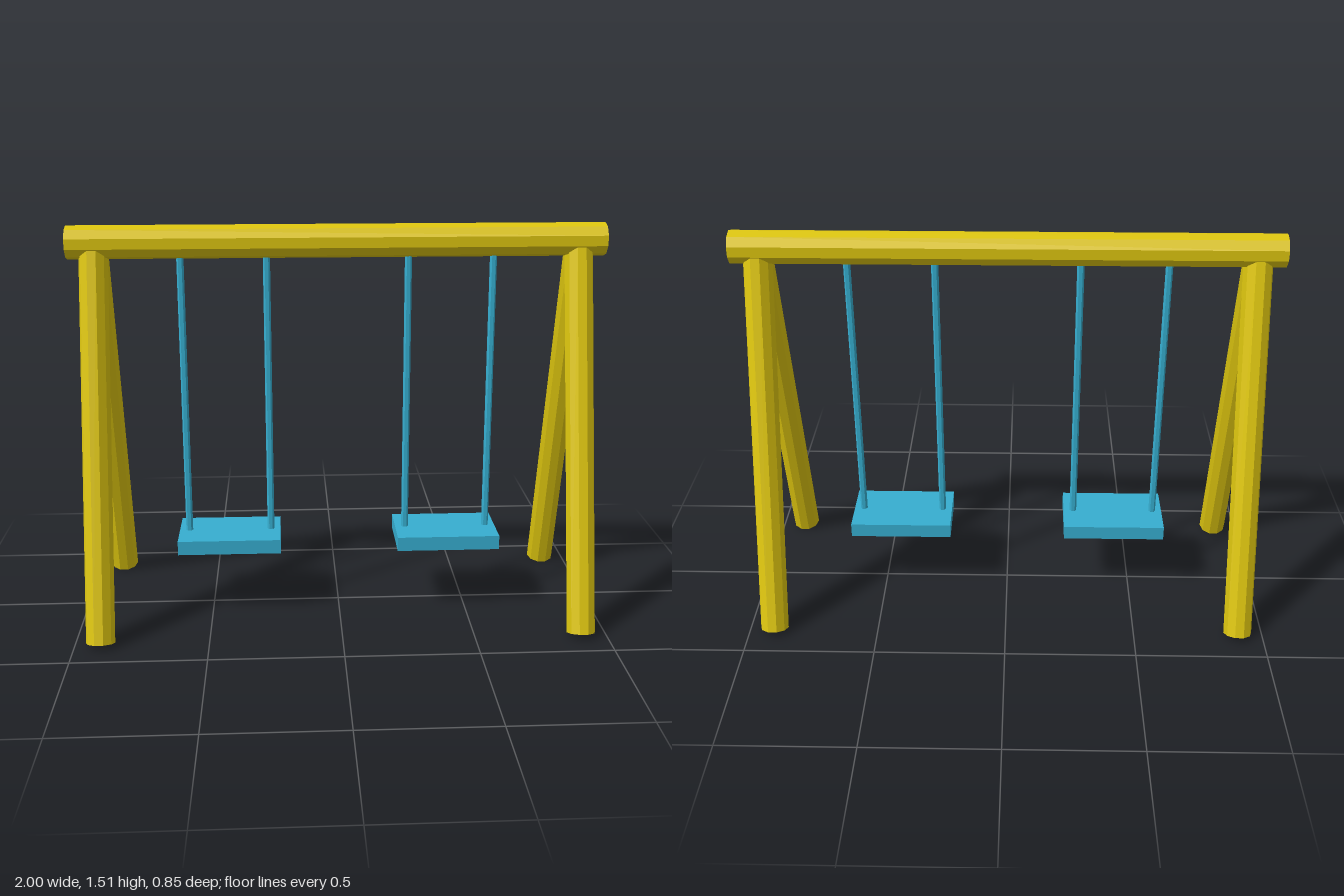
import * as THREE from 'three';

// Faceted pole between two points, with a corner edge turned towards side x
function pole(name, from, to, radius, sides, material) {
  const dir = to.clone().sub(from);
  const indexed = new THREE.CylinderGeometry(radius, radius, dir.length(), sides, 1, false, Math.PI / 2);
  const geometry = indexed.toNonIndexed();
  geometry.computeVertexNormals();
  const mesh = new THREE.Mesh(geometry, material);
  mesh.name = name;
  mesh.position.copy(from).add(to).multiplyScalar(0.5);
  mesh.quaternion.setFromUnitVectors(new THREE.Vector3(0, 1, 0), dir.normalize());
  return mesh;
}

export function createModel() {
  const v = (x, y, z) => new THREE.Vector3(x, y, z);
  const yellow = new THREE.MeshStandardMaterial({ color: 0xdcc40f });
  yellow.name = 'yellow frame';
  const blue = new THREE.MeshStandardMaterial({ color: 0x36aed0 });
  blue.name = 'blue swing';

  const model = new THREE.Group();
  model.name = 'swingSet';

  // Top beam
  model.add(pole('topBeam', v(-1, 1.452, 0), v(1, 1.452, 0), 0.0625, 10, yellow));

  // A-frame legs
  for (const side of [-1, 1]) {
    const frame = new THREE.Group();
    frame.name = side > 0 ? 'leftFrame' : 'rightFrame';
    for (const end of [-1, 1]) {
      const name = end > 0 ? 'frontLeg' : 'backLeg';
      frame.add(pole(name, v(side * 0.903, 0.016, end * 0.373), v(side * 0.903, 1.44, 0), 0.054, 10, yellow));
    }
    model.add(frame);
  }

  // Two swings, each a seat hung from two slightly slanted ropes
  for (const x of [-0.427, 0.423]) {
    const swing = new THREE.Group();
    swing.name = x > 0 ? 'leftSwing' : 'rightSwing';
    const seat = new THREE.Mesh(new THREE.BoxGeometry(0.396, 0.055, 0.252), blue);
    seat.name = 'seat';
    seat.position.set(x, 0.293, 0.021);
    swing.add(seat);
    for (const s of [-1, 1]) {
      swing.add(pole('rope', v(x + s * 0.16, 0.3, 0.021), v(x + s * 0.16, 1.43, 0), 0.0135, 6, blue));
    }
    model.add(swing);
  }
  return model;
}
